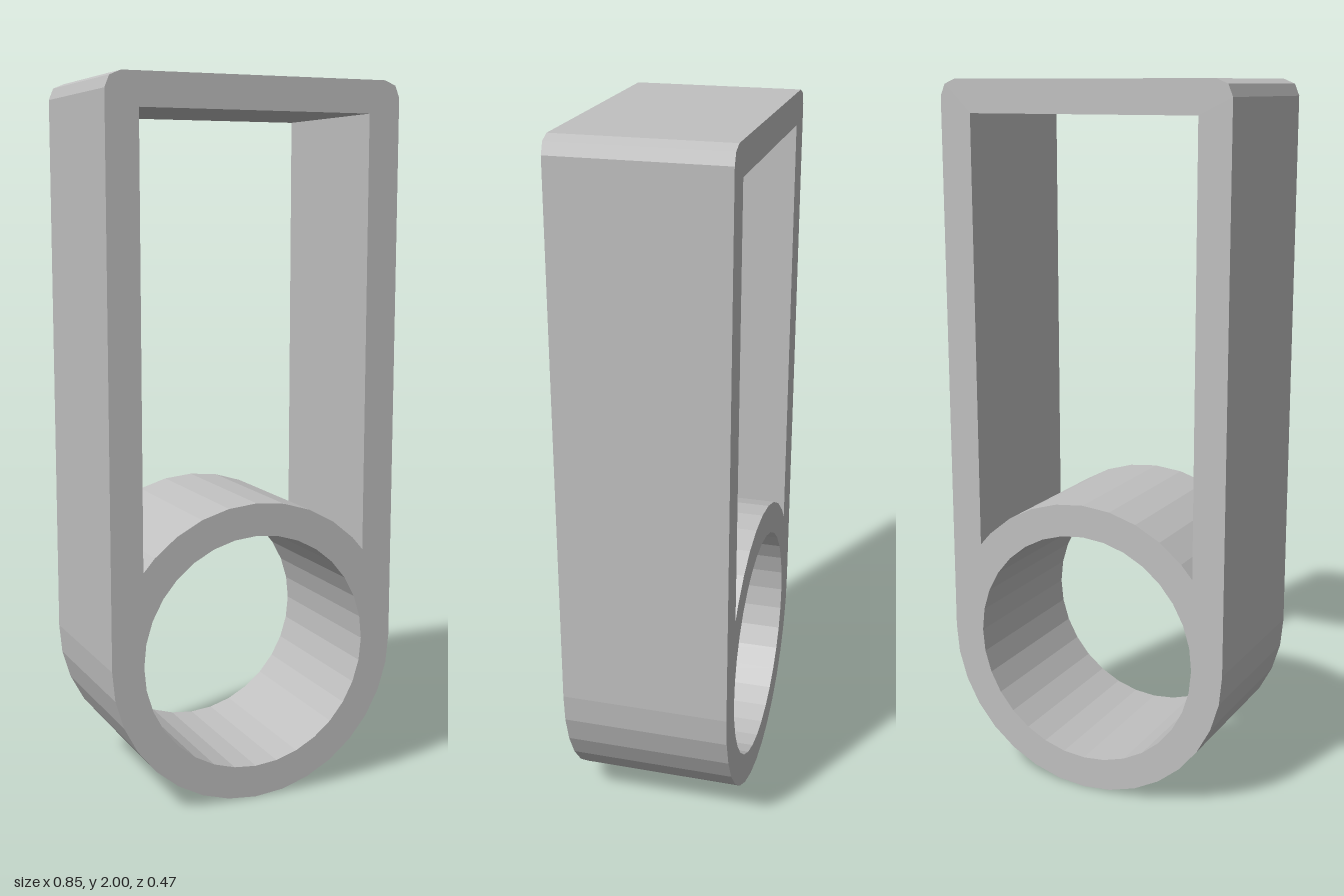
import * as THREE from 'three';

const R = 0.427;        // outer radius and half width
const RI = 0.335;       // bore radius and half width of the window
const TOP = 2;
const DEPTH = 0.474;
const CORNER = 0.045;
const STEP = Math.PI / 16; // 32-sided circles

// Points on a circle from step k0 to step k1
function arc(cx, cy, r, k0, k1, step = STEP) {
  const pts = [];
  const dir = Math.sign(k1 - k0);
  for (let k = k0; k !== k1 + dir; k += dir) {
    pts.push(new THREE.Vector2(cx + r * Math.cos(k * step), cy + r * Math.sin(k * step)));
  }
  return pts;
}

export function createModel() {
  const grey = new THREE.MeshStandardMaterial({ color: 0xc0c0c0 });
  grey.name = 'light grey';

  // Outline: half-round bottom, straight sides, small rounded top corners
  const outline = new THREE.Shape([
    ...arc(0, R, R, 16, 32),
    ...arc(R - CORNER, TOP - CORNER, CORNER, 0, 2, Math.PI / 4),
    ...arc(-R + CORNER, TOP - CORNER, CORNER, 2, 4, Math.PI / 4),
  ]);

  // Round bore
  outline.holes.push(new THREE.Path(arc(0, R, RI, 31, 0)));

  // Tall window whose sill follows the top of the ring
  const sillEnd = 0.691;
  const windowTop = 1.91;
  outline.holes.push(new THREE.Path([
    new THREE.Vector2(RI, windowTop),
    new THREE.Vector2(RI, sillEnd),
    ...arc(0, R, R, 4, 12),
    new THREE.Vector2(-RI, sillEnd),
    new THREE.Vector2(-RI, windowTop),
  ]));

  const geometry = new THREE.ExtrudeGeometry(outline, { depth: DEPTH, bevelEnabled: false });
  geometry.translate(0, 0, -DEPTH / 2);

  const bracket = new THREE.Mesh(geometry, grey);
  bracket.name = 'ringAndFrame';

  const model = new THREE.Group();
  model.name = 'ringBracket';
  model.add(bracket);
  return model;
}
